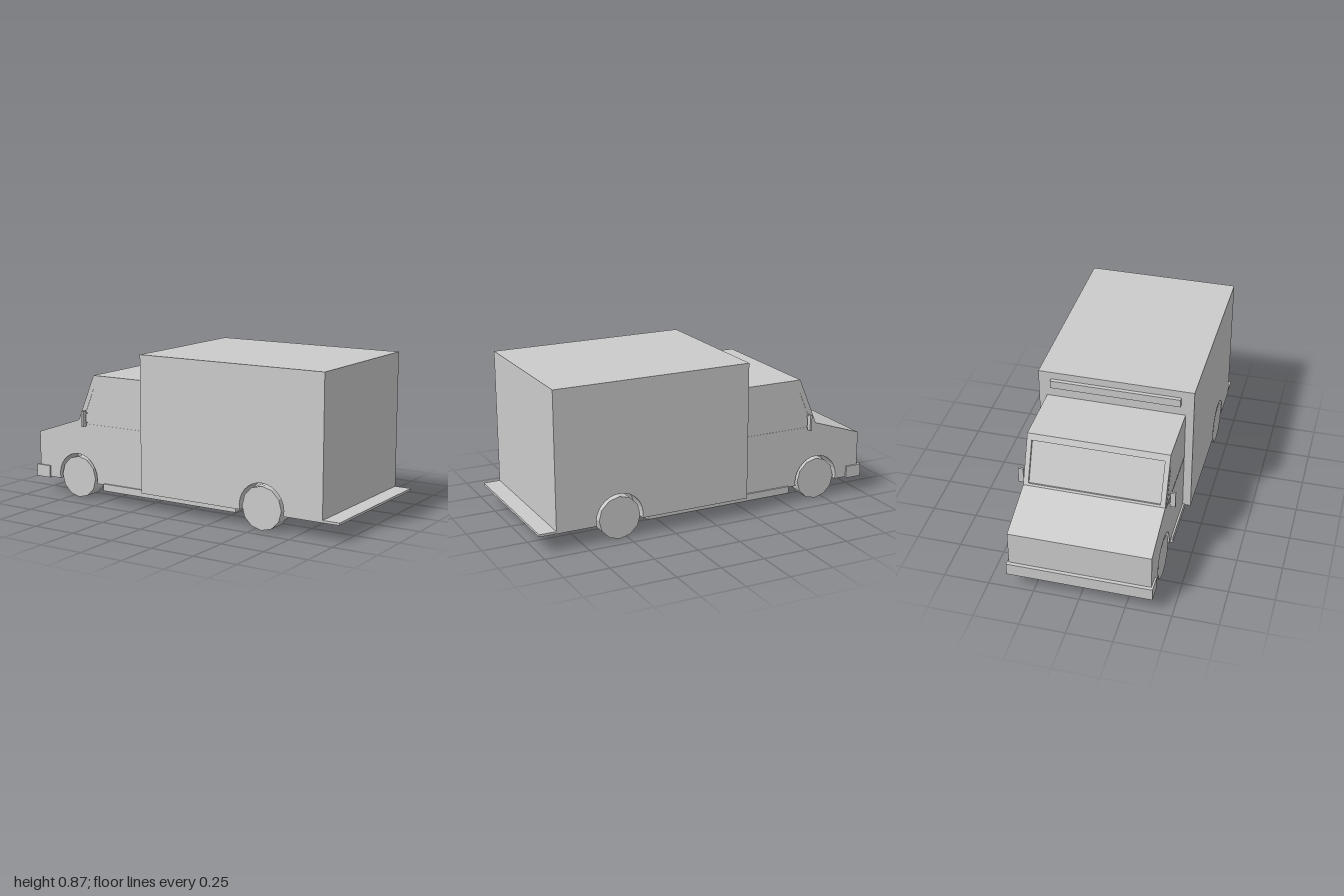
import * as THREE from 'three';

const mat = new THREE.MeshStandardMaterial({ color: 0xcccccc, flatShading: true });
const FLOOR = 0.095, AXLE_Y = 0.12, ARCH_R = 0.135;
const FRONT_X = -0.7, REAR_X = 0.545;

export function createModel() {
  const model = new THREE.Group();

  const add = (name, geometry, x = 0, y = 0, z = 0) => {
    const mesh = new THREE.Mesh(geometry, mat);
    mesh.name = name;
    mesh.position.set(x, y, z);
    model.add(mesh);
    return mesh;
  };

  // Box given by its extents along each axis
  const box = (name, x0, x1, y0, y1, z0, z1) =>
    add(name, new THREE.BoxGeometry(x1 - x0, y1 - y0, z1 - z0),
      (x0 + x1) / 2, (y0 + y1) / 2, (z0 + z1) / 2);

  // Side profile extruded between two z values, optionally with a wheel arch
  const slice = (name, upper, z0, z1, archX) => {
    const shape = new THREE.Shape();
    upper.forEach(([x, y], i) => (i ? shape.lineTo(x, y) : shape.moveTo(x, y)));
    if (archX !== undefined) {
      const a0 = Math.asin((FLOOR - AXLE_Y) / ARCH_R);
      const steps = 16;
      for (let i = 0; i <= steps; i++) {
        const a = a0 + (Math.PI - 2 * a0) * i / steps;
        shape.lineTo(archX + ARCH_R * Math.cos(a), AXLE_Y + ARCH_R * Math.sin(a));
      }
    }
    const geometry = new THREE.ExtrudeGeometry(shape, { depth: z1 - z0, bevelEnabled: false });
    return add(name, geometry, 0, 0, z0);
  };

  // Cab: outer slices are plain, inner slices carry the recessed windscreen
  const nose = [[-0.98, FLOOR], [-0.98, 0.355], [-0.69, 0.453]];
  const roof = [[-0.58, 0.717], [-0.225, 0.717], [-0.225, FLOOR]];
  const recess = [[-0.685, 0.465], [-0.672, 0.46], [-0.581, 0.678], [-0.594, 0.683]];
  const plainCab = [...nose, ...roof];
  const glazedCab = [...nose, ...recess, ...roof];
  slice('cabCentre', glazedCab, -0.27, 0.27);

  // Cargo body
  const cargo = [[-0.225, FLOOR], [-0.225, 0.867], [0.905, 0.867], [0.905, FLOOR]];
  slice('cargoCentre', cargo, -0.32, 0.32);

  for (const s of [1, -1]) {
    const span = (a, b) => (s > 0 ? [a, b] : [-b, -a]);
    const side = s > 0 ? 'left' : 'right';
    slice(side + 'CabInner', glazedCab, ...span(0.27, 0.358), FRONT_X);
    slice(side + 'CabSide', plainCab, ...span(0.358, 0.385), FRONT_X);
    slice(side + 'CargoSide', cargo, ...span(0.32, 0.43), REAR_X);

    // Twelve-sided wheels, the rear pair set wider
    for (const [name, x, z] of [['FrontWheel', FRONT_X, 0.334], ['RearWheel', REAR_X, 0.38]]) {
      const wheel = new THREE.CylinderGeometry(0.119, 0.119, 0.096, 12).rotateX(Math.PI / 2);
      add(side + name, wheel, x, 0.119, s * z);
    }

    // Door belt line and window front edge
    box(side + 'BeltLine', -0.665, -0.225, 0.432, 0.435, ...span(0.384, 0.3865));
    const edge = box(side + 'WindowEdge', -0.001, 0.001, -0.11, 0.11, ...span(0.384, 0.3865));
    edge.position.x = -0.624;
    edge.position.y = 0.537;
    edge.rotation.z = -0.393;

    // Mirror on two short arms
    box(side + 'Mirror', -0.638, -0.626, 0.425, 0.515, ...span(0.4, 0.428));
    for (const y of [0.44, 0.495])
      box(side + 'MirrorArm', -0.635, -0.629, y, y + 0.006, ...span(0.38, 0.405));

    // Bumper end wrapping around the nose
    box(side + 'BumperEnd', -1, -0.905, 0.09, 0.16, ...span(0.38, 0.395));
  }

  box('frontBumper', -1, -0.975, 0.09, 0.16, -0.395, 0.395);
  box('underfloorSkirt', -0.515, 0.365, 0.063, 0.103, -0.395, 0.395);
  box('rearStep', 0.9, 1, FLOOR, 0.108, -0.428, 0.428);
  box('roofLampBar', -0.247, -0.22, 0.78, 0.825, -0.36, 0.36);

  return model;
}
